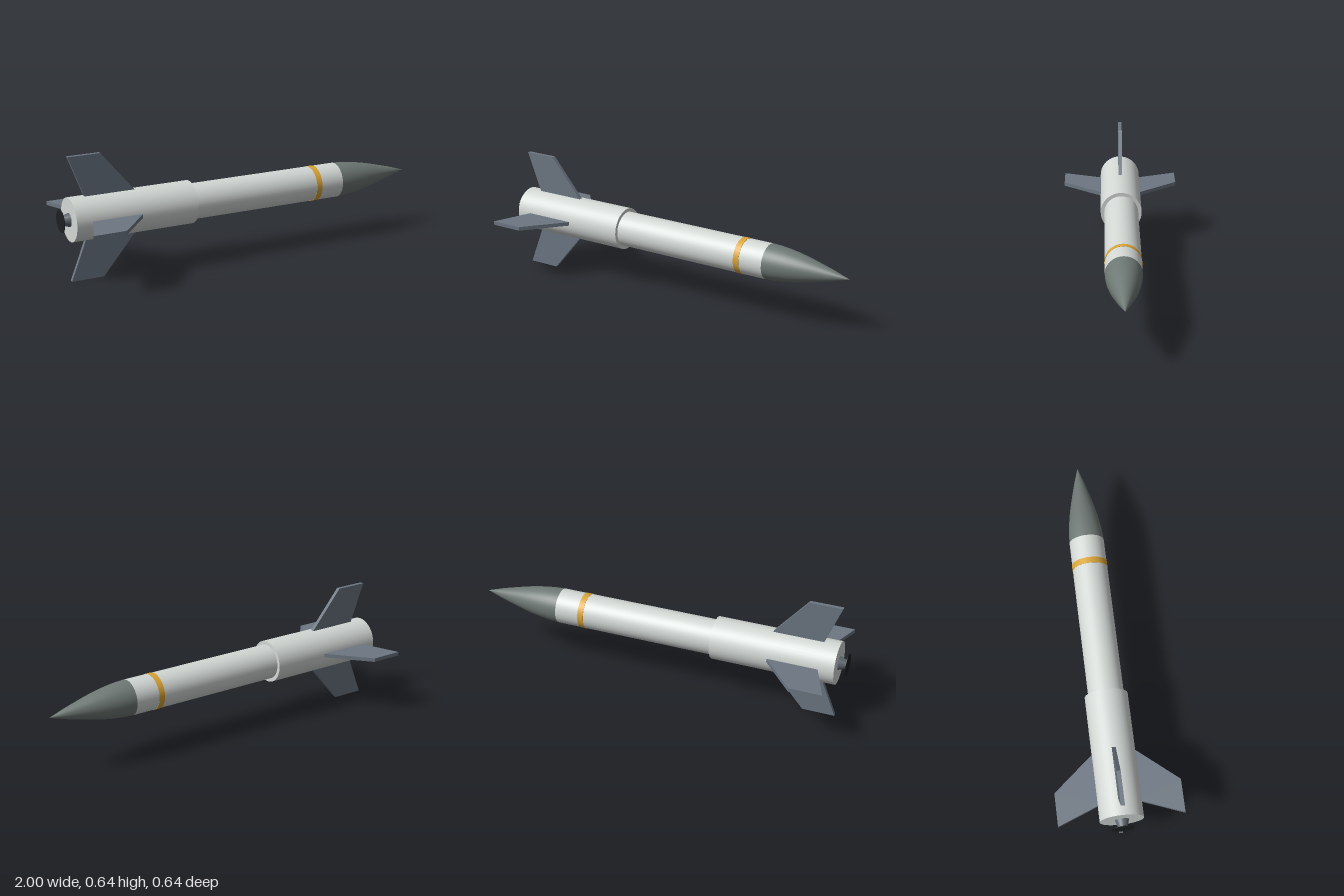
import * as THREE from 'three';

const AXIS_Y = 0.318;

function mat(color) {
  return new THREE.MeshStandardMaterial({ color });
}

export function createModel() {
  const model = new THREE.Group();
  model.name = 'rocket';

  // everything is built around the x axis, then lifted to stand on its lowest fin
  const body = new THREE.Group();
  body.name = 'rocketBody';
  body.position.y = AXIS_Y;
  model.add(body);

  const add = (name, geometry, material, parent = body) => {
    const mesh = new THREE.Mesh(geometry, material);
    mesh.name = name;
    parent.add(mesh);
    return mesh;
  };

  // cylinder or frustum along x, from x0 (radius r0) to x1 (radius r1)
  const tube = (name, x0, x1, r0, r1, material, open = false) => {
    const g = new THREE.CylinderGeometry(r1, r0, x1 - x0, 40, 1, open);
    g.rotateZ(-Math.PI / 2);
    g.translate((x0 + x1) / 2, 0, 0);
    return add(name, g, material);
  };

  const white = mat(0xd3d8d5);
  const finGrey = mat(0x6c7682);

  // main tube, wider booster and marking band
  tube('mainTube', -0.31, 0.56, 0.092, 0.092, white);
  tube('booster', -0.955, -0.305, 0.111, 0.111, white);
  tube('markingBand', 0.4, 0.432, 0.0935, 0.0935, mat(0xd9a436));

  // curved nose cone
  const profile = [
    [0.092, 0.56], [0.0895, 0.61], [0.084, 0.66], [0.076, 0.71], [0.066, 0.76],
    [0.054, 0.81], [0.041, 0.86], [0.028, 0.91], [0.014, 0.955], [0, 1],
  ].map(([r, x]) => new THREE.Vector2(r, x));
  const nose = new THREE.LatheGeometry(profile, 40);
  nose.rotateZ(-Math.PI / 2);
  add('noseCone', nose, mat(0x6e7874));

  // nozzle and exhaust disc
  tube('nozzle', -0.998, -0.95, 0.021, 0.037, mat(0x5c646b));
  tube('exhaustDisc', -1, -0.997, 0.058, 0.058, mat(0x1c1f22));

  // four swept fins, rooted just inside the booster
  const outline = new THREE.Shape([
    [-0.868, 0.095], [-0.597, 0.095], [-0.785, 0.318], [-0.955, 0.318],
  ].map(([x, y]) => new THREE.Vector2(x, y)));
  const finGeometry = new THREE.ExtrudeGeometry(outline, { depth: 0.02, bevelEnabled: false });
  finGeometry.translate(0, 0, -0.01);
  const fins = new THREE.Group();
  fins.name = 'fins';
  body.add(fins);
  ['topFin', 'frontFin', 'bottomFin', 'backFin'].forEach((name, i) => {
    add(name, finGeometry, finGrey, fins).rotation.x = i * Math.PI / 2;
  });

  return model;
}
